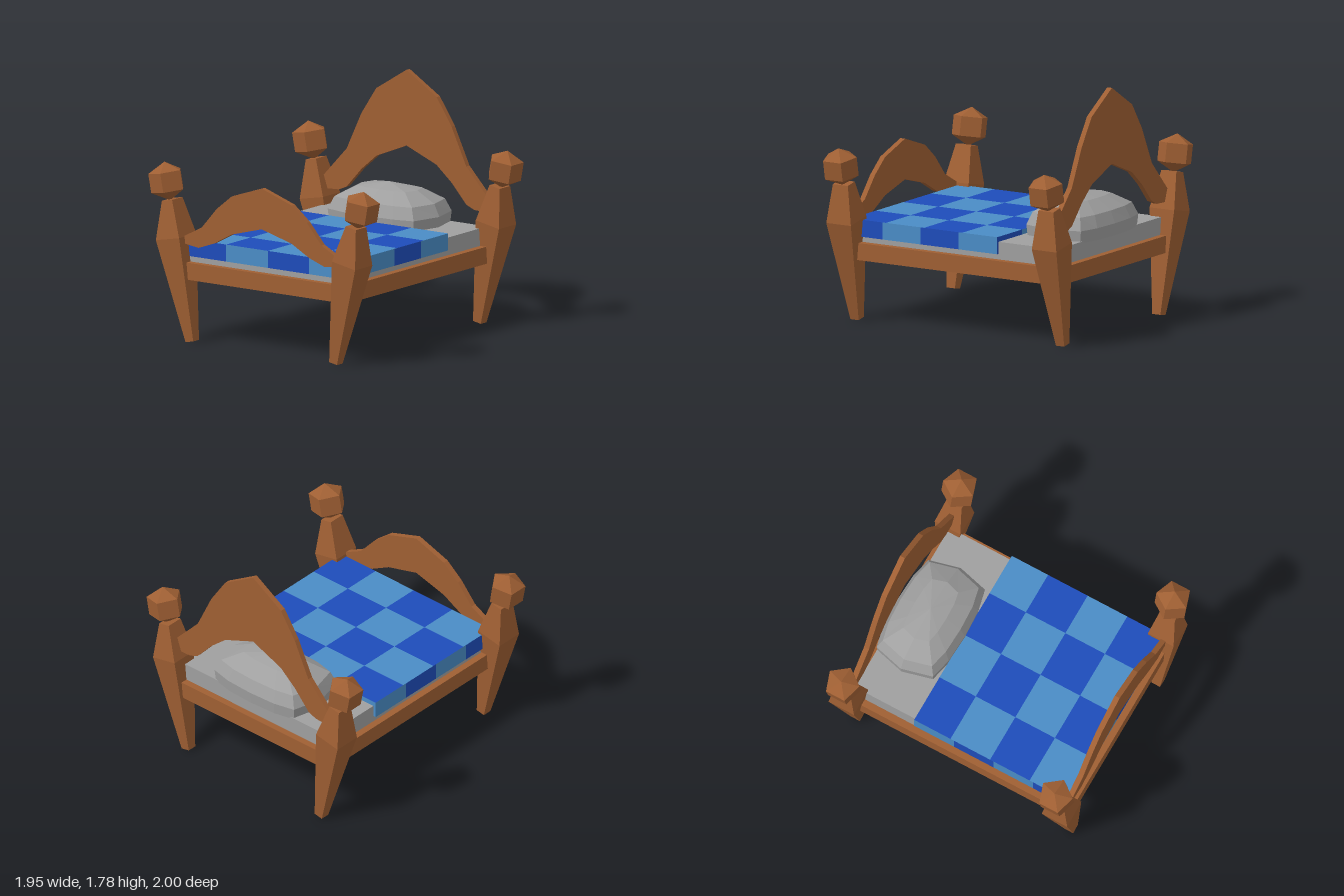
import * as THREE from 'three';

const wood = new THREE.MeshStandardMaterial({ color: 0x9f5f33 });
wood.name = 'brown wood';
const linen = new THREE.MeshStandardMaterial({ color: 0x9f9f9f });
linen.name = 'grey linen';
const lightBlue = new THREE.MeshStandardMaterial({ color: 0x4a8cc6 });
lightBlue.name = 'light blue cloth';
const darkBlue = new THREE.MeshStandardMaterial({ color: 0x1e4cba });
darkBlue.name = 'dark blue cloth';

const V2 = (x, y) => new THREE.Vector2(x, y);

// Faceted normals for low-poly parts
function faceted(geometry) {
  const g = geometry.index ? geometry.toNonIndexed() : geometry;
  g.computeVertexNormals();
  return g;
}

function mesh(name, geometry, material, parent) {
  const m = new THREE.Mesh(geometry, material);
  m.name = name;
  parent.add(m);
  return m;
}

// Box given by its limits on each axis
function box(name, [x0, x1], [y0, y1], [z0, z1], material, parent) {
  const m = mesh(name, new THREE.BoxGeometry(x1 - x0, y1 - y0, z1 - z0), material, parent);
  m.position.set((x0 + x1) / 2, (y0 + y1) / 2, (z0 + z1) / 2);
}

// Square tapered post leaning outward, with a five-sided knob
function post(name, sx, sz, parent) {
  const g = new THREE.Group();
  g.name = name;
  const r = Math.SQRT2;
  const profile = [V2(0, 0), V2(0.035 * r, 0), V2(0.105 * r, 0.76), V2(0.064 * r, 1.035), V2(0, 1.035)];
  const shaft = new THREE.LatheGeometry(profile, 4, Math.PI / 4);
  const p = shaft.attributes.position;
  // the top end is narrower across and sits slightly inward
  for (let i = 0; i < p.count; i++) {
    if (p.getY(i) > 1) p.setX(i, p.getX(i) * 0.72 - 0.018 * sx);
  }
  mesh('postShaft', faceted(shaft), wood, g);
  // the knob has a corner toward the bed and a flat face outward
  const knob = mesh('postKnob', faceted(new THREE.SphereGeometry(0.148, 5, 3)), wood, g);
  knob.position.y = 1.167;
  knob.scale.y = 0.95;
  knob.rotation.y = sx > 0 ? 0 : Math.PI;
  g.position.set(0.637 * sx, 0.006, 0.876 * sz);
  g.rotation.z = -0.19 * sx;
  parent.add(g);
}

// Arched board: half outline from the top centre round to the bottom centre, mirrored
function archBoard(name, half, z0, z1, parent) {
  const mirrored = half.slice(1, -1).reverse().map(([x, y]) => [-x, y]);
  const shape = new THREE.Shape([...half, ...mirrored].map(([x, y]) => V2(x, y)));
  const geo = new THREE.ExtrudeGeometry(shape, { depth: z1 - z0, bevelEnabled: false });
  mesh(name, geo, wood, parent).position.z = z0;
}

// Chequered blanket: a 4 x 4 box whose cells alternate between two cloths
function blanket(parent) {
  const xCuts = [-0.717, -0.345, 0.025, 0.39, 0.717];
  const zCuts = [-0.373, -0.075, 0.25, 0.575, 0.873];
  const geo = new THREE.BoxGeometry(4, 1, 4, 4, 1, 4).toNonIndexed();
  geo.clearGroups();
  const p = geo.attributes.position;
  const n = geo.attributes.normal;
  for (let q = 0; q < p.count; q += 6) {
    let cx = 0, cz = 0;
    for (let i = q; i < q + 6; i++) {
      cx += p.getX(i) / 6;
      cz += p.getZ(i) / 6;
    }
    const nx = Math.round(n.getX(q)), nz = Math.round(n.getZ(q));
    const col = nx > 0 ? 3 : nx < 0 ? -1 : Math.floor(cx + 2);
    const row = nz > 0 ? 4 : nz < 0 ? -1 : Math.floor(cz + 2);
    geo.addGroup(q, 6, Math.abs(col + row) % 2 === 0 ? 0 : 1);
  }
  for (let i = 0; i < p.count; i++) {
    const ix = Math.round(p.getX(i) + 2), iz = Math.round(p.getZ(i) + 2);
    // the pattern sits slightly further forward on the side drops
    const shift = Math.abs(n.getX(i)) > 0.5 && iz > 0 && iz < 4 ? 0.03 : 0;
    p.setXYZ(i, xCuts[ix], p.getY(i) > 0 ? 0.75 : 0.625, zCuts[iz] + shift);
  }
  mesh('blanket', geo, [darkBlue, lightBlue], parent);
}

// Puffy pillow: a faceted dome on a boxy twelve-sided plan, broader than deep
function pillow(parent) {
  const profile = [V2(0, 0.7), V2(0.97, 0.7), V2(1, 0.79), V2(0.87, 0.88), V2(0.46, 0.96), V2(0, 0.998)];
  const geo = new THREE.LatheGeometry(profile, 12);
  const p = geo.attributes.position;
  for (let i = 0; i < p.count; i++) {
    const x = p.getX(i), z = p.getZ(i), r = Math.hypot(x, z);
    if (r < 1e-6) continue;
    const s = Math.abs(z / r) < 1e-6 ? 0 : Math.sign(z) * Math.abs(z / r) ** 0.27;
    p.setX(i, (x / r) * r ** 0.75 * 0.44);
    p.setZ(i, s * r * 0.28);
  }
  mesh('pillow', faceted(geo), linen, parent).position.set(0.004, 0, -0.64);
}

export function createModel() {
  const bed = new THREE.Group();
  bed.name = 'bed';
  const frame = new THREE.Group();
  frame.name = 'frameAndBedding';
  frame.position.x = 0.006;
  bed.add(frame);

  for (const sx of [1, -1]) {
    const side = sx > 0 ? 'left' : 'right';
    post(side + 'FrontPost', sx, 1, bed);
    post(side + 'BackPost', sx, -1, bed);
    const xs = sx > 0 ? [0.7, 0.753] : [-0.753, -0.7];
    box(side + 'Rail', xs, [0.46, 0.585], [-0.88, 0.88], wood, frame);
  }
  box('frontRail', [-0.7, 0.7], [0.46, 0.585], [0.865, 0.916], wood, frame);
  box('backRail', [-0.7, 0.7], [0.46, 0.585], [-0.925, -0.873], wood, frame);

  box('mattress', [-0.695, 0.698], [0.55, 0.713], [-0.873, 0.868], linen, frame);
  blanket(frame);
  pillow(frame);

  archBoard('headboard', [
    [0, 1.777], [0.268, 1.61], [0.4, 1.41], [0.53, 1.135], [0.745, 0.905], [0.72, 0.82],
    [0.6, 0.825], [0.53, 0.855], [0.4, 1.0], [0.265, 1.115], [0, 1.222],
  ], -0.89, -0.85, frame);
  archBoard('footboard', [
    [0, 1.21], [0.265, 1.12], [0.4, 1.01], [0.53, 0.86], [0.7, 0.77], [0.7, 0.725],
    [0.56, 0.705], [0.42, 0.755], [0.265, 0.84], [0, 0.912],
  ], 0.874, 0.914, frame);

  return bed;
}
